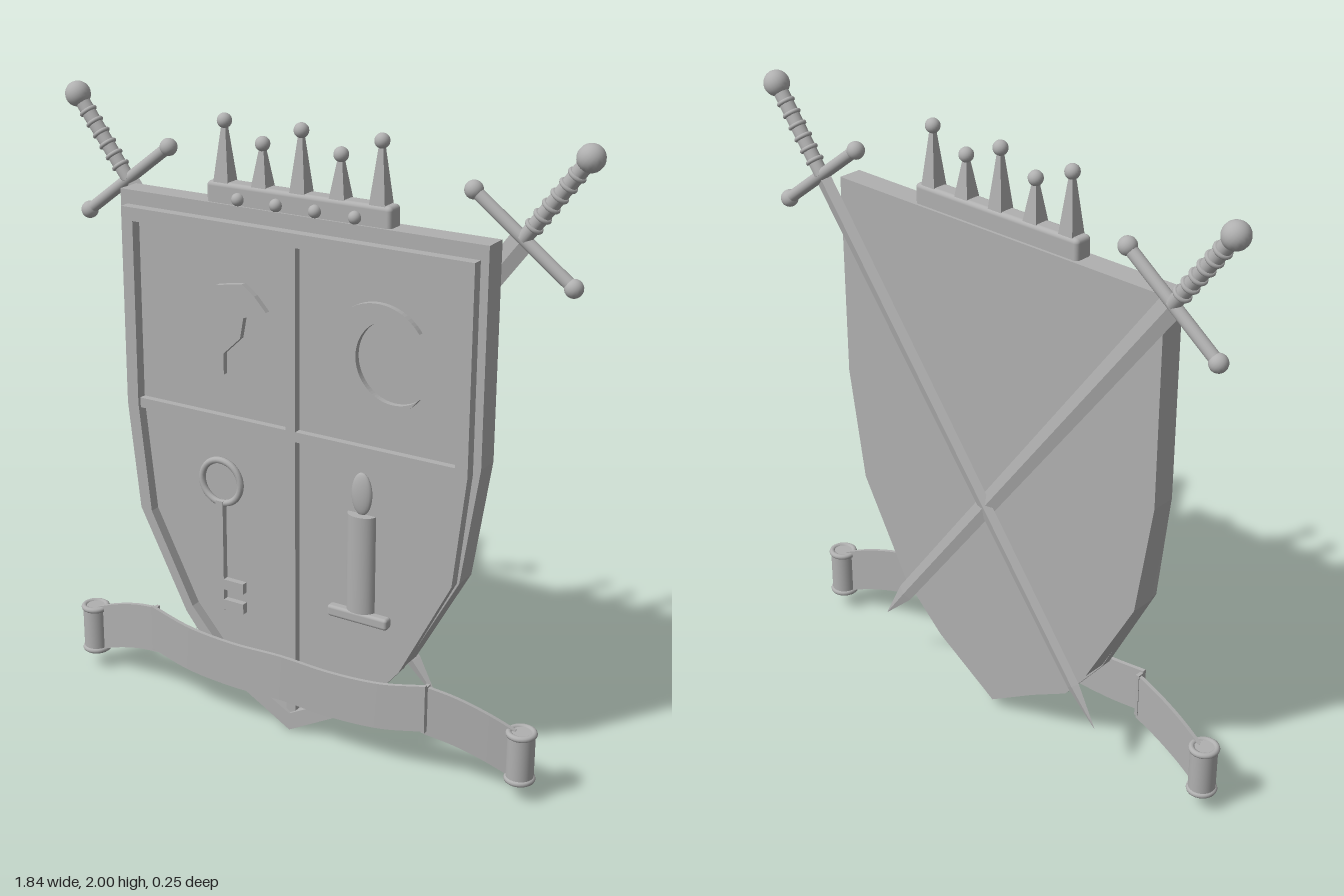
import * as THREE from 'three';
import { toCreasedNormals } from 'three/addons/utils/BufferGeometryUtils.js';
import { RoundedBoxGeometry } from 'three/addons/geometries/RoundedBoxGeometry.js';

const stone = new THREE.MeshStandardMaterial({ color: 0xb0b0b0 });
stone.name = 'stoneGrey';

function add(parent, name, geometry, x = 0, y = 0, z = 0) {
  const mesh = new THREE.Mesh(geometry, stone);
  mesh.name = name;
  mesh.position.set(x, y, z);
  parent.add(mesh);
  return mesh;
}

const creased = (g) => toCreasedNormals(g, 0.5);
const ball = (r) => new THREE.SphereGeometry(r, 20, 14);
const box = (w, h, d) => new THREE.BoxGeometry(w, h, d);

// Closed symmetric outline from its right half, tip last
function mirrored(half) {
  const left = half.slice(0, -1).reverse().map(([x, y]) => [-x, y]);
  return [...half, ...left].map(([x, y]) => new THREE.Vector2(x, y));
}

function plate(shape, depth) {
  return new THREE.ExtrudeGeometry(shape, { depth, bevelEnabled: false, curveSegments: 32 });
}

// Upright band of cloth following a curve
function band(points, halfHeight, thickness) {
  const curve = new THREE.CatmullRomCurve3(points.map((p) => new THREE.Vector3(...p)));
  const g = new THREE.BoxGeometry(1, 1, 1, 32, 1, 1);
  const pos = g.attributes.position;
  for (let i = 0; i < pos.count; i++) {
    const p = curve.getPoint(pos.getX(i) + 0.5);
    pos.setXYZ(i, p.x, p.y + pos.getY(i) * 2 * halfHeight, p.z + pos.getZ(i) * thickness);
  }
  g.computeVertexNormals();
  return g;
}

function makeShield() {
  const shield = new THREE.Group();
  shield.name = 'shield';
  const back = new THREE.Shape(mirrored([[0.638, 1.71], [0.638, 1.04], [0.58, 0.66], [0.4, 0.33], [0.24, 0.18], [0, 0.03]]));
  add(shield, 'backPlate', plate(back, 0.08), 0, 0, -0.055);
  // Raised border
  const rim = new THREE.Shape(mirrored([[0.612, 1.665], [0.612, 1.02], [0.572, 0.66], [0.4, 0.325], [0.25, 0.14], [0, 0]]));
  rim.holes.push(new THREE.Path(mirrored([[0.57, 1.622], [0.57, 1.02], [0.53, 0.655], [0.375, 0.35], [0.23, 0.185], [0, 0.06]]).reverse()));
  add(shield, 'rim', plate(rim, 0.036), 0, 0, 0.024);
  // Quartering bars
  add(shield, 'verticalBar', box(0.034, 1.57, 0.025), 0, 0.84, 0.0365);
  add(shield, 'horizontalBar', box(1.14, 0.033, 0.025), 0, 1.022, 0.0365);
  return shield;
}

function makeEmblems() {
  const emblems = new THREE.Group();
  emblems.name = 'emblems';
  // Bird
  const bird = [[-0.525, 1.25], [-0.5, 1.222], [-0.35, 1.26], [-0.275, 1.243], [-0.267, 1.175], [-0.247, 1.175],
    [-0.247, 1.243], [-0.185, 1.302], [-0.172, 1.37], [-0.09, 1.4], [-0.132, 1.445], [-0.175, 1.477], [-0.27, 1.46],
    [-0.355, 1.38], [-0.395, 1.33]];
  add(emblems, 'bird', plate(new THREE.Shape(bird.map((p) => new THREE.Vector2(...p))), 0.02), 0, 0, 0.024);
  // Crescent
  const moon = new THREE.Shape();
  const a = 0.63, r = 0.172, inner = 0.13;
  const dx = r * Math.cos(a) - Math.sqrt(inner ** 2 - (r * Math.sin(a)) ** 2) + 0.0;
  const b = Math.atan2(r * Math.sin(a), r * Math.cos(a) - dx);
  moon.absarc(0, 0, r, a, 2 * Math.PI - a, false);
  moon.absarc(dx, 0, inner, 2 * Math.PI - b, b, true);
  add(emblems, 'crescent', plate(moon, 0.02), 0.296, 1.32, 0.024);
  // Key
  const key = new THREE.Group();
  key.name = 'key';
  emblems.add(key);
  add(key, 'keyRing', new THREE.TorusGeometry(0.073, 0.011, 10, 36), -0.27, 0.807, 0.034);
  add(key, 'keyShaft', box(0.027, 0.385, 0.022), -0.272, 0.55, 0.035);
  add(key, 'keyTooth', box(0.078, 0.036, 0.022), -0.223, 0.452, 0.035);
  add(key, 'keyTooth', box(0.078, 0.036, 0.022), -0.223, 0.38, 0.035);
  // Candle
  const candle = new THREE.Group();
  candle.name = 'candle';
  emblems.add(candle);
  add(candle, 'candleBase', new RoundedBoxGeometry(0.214, 0.038, 0.035, 2, 0.01), 0.243, 0.468, 0.038);
  add(candle, 'candleStick', new THREE.CylinderGeometry(0.049, 0.049, 0.325, 28), 0.243, 0.648, 0.025).scale.z = 0.7;
  add(candle, 'flame', ball(1), 0.243, 0.877, 0.028).scale.set(0.036, 0.07, 0.015);
  return emblems;
}

function makeCrown() {
  const crown = new THREE.Group();
  crown.name = 'crown';
  add(crown, 'crownBand', new RoundedBoxGeometry(0.64, 0.083, 0.064, 3, 0.014), 0, 1.732, -0.014);
  for (let i = 0; i < 5; i++) {
    const x = (i - 2) * 0.135;
    const top = i % 2 ? 1.9 : 1.955;
    const height = top - 1.765;
    const spike = new THREE.CylinderGeometry(0.008, 0.038, height, 4).rotateY(Math.PI / 4);
    add(crown, 'crownSpike', creased(spike), x, 1.765 + height / 2, -0.014);
    add(crown, 'crownPearl', ball(0.023), x, top, -0.014);
    if (i < 4) add(crown, 'crownStud', ball(0.02), x + 0.0675, 1.73, 0.021);
  }
  return crown;
}

// Sword built upright with the guard at the origin and the blade hanging down
function makeSword(side) {
  const sword = new THREE.Group();
  sword.name = side > 0 ? 'leftSword' : 'rightSword';
  add(sword, 'blade', creased(new THREE.CylinderGeometry(0.038, 0.029, 1.77, 4)), 0, -0.885, 0).scale.z = 0.3;
  add(sword, 'bladeTip', creased(new THREE.CylinderGeometry(0.029, 0.001, 0.15, 4)), 0, -1.845, 0).scale.z = 0.3;
  add(sword, 'guard', new THREE.CylinderGeometry(0.019, 0.019, 0.4, 18).rotateZ(Math.PI / 2));
  for (const s of [-1, 1]) add(sword, 'guardKnob', ball(0.028), s * 0.2, 0, 0);
  add(sword, 'grip', new THREE.CylinderGeometry(0.024, 0.022, 0.3, 18), 0, 0.15, 0);
  for (let i = 0; i < 6; i++) {
    add(sword, 'gripRing', new THREE.TorusGeometry(0.023, 0.007, 8, 20).rotateX(Math.PI / 2), 0, 0.05 + i * 0.04, 0);
  }
  add(sword, 'pommel', ball(0.041), 0, 0.314, 0);
  sword.position.set(side * 0.688, 1.712, side > 0 ? -0.086 : -0.083);
  sword.rotation.z = -side * 0.645;
  return sword;
}

function makeRibbon() {
  const ribbon = new THREE.Group();
  ribbon.name = 'ribbon';
  const centre = [[-0.515, 0.25, 0.095], [-0.36, 0.22, 0.107], [-0.18, 0.21, 0.112], [0, 0.217, 0.114],
    [0.18, 0.21, 0.112], [0.36, 0.22, 0.107], [0.515, 0.25, 0.095]];
  add(ribbon, 'ribbonCentre', band(centre, 0.078, 0.013));
  for (const s of [-1, 1]) {
    const path = [[0.505, 0.235, 0.078], [0.6, 0.216, 0.062], [0.7, 0.184, 0.046], [0.79, 0.145, 0.03]];
    const points = path.map(([x, y, z]) => [s * x, y, z]);
    if (s < 0) points.reverse();
    add(ribbon, 'ribbonTail', band(points, 0.082, 0.013));
    add(ribbon, 'ribbonFold', box(0.012, 0.155, 0.034), s * 0.509, 0.243, 0.084);
    // Rolled end with lipped rims
    add(ribbon, 'ribbonRoll', new THREE.CylinderGeometry(0.043, 0.043, 0.165, 28), s * 0.808, 0.144, 0.028);
    for (const y of [0.068, 0.222]) {
      add(ribbon, 'rollRim', new THREE.TorusGeometry(0.039, 0.01, 10, 28).rotateX(Math.PI / 2), s * 0.808, y, 0.028);
    }
  }
  return ribbon;
}

export function createModel() {
  const model = new THREE.Group();
  model.name = 'coatOfArms';
  model.add(makeShield(), makeEmblems(), makeCrown(), makeSword(1), makeSword(-1), makeRibbon());
  return model;
}
